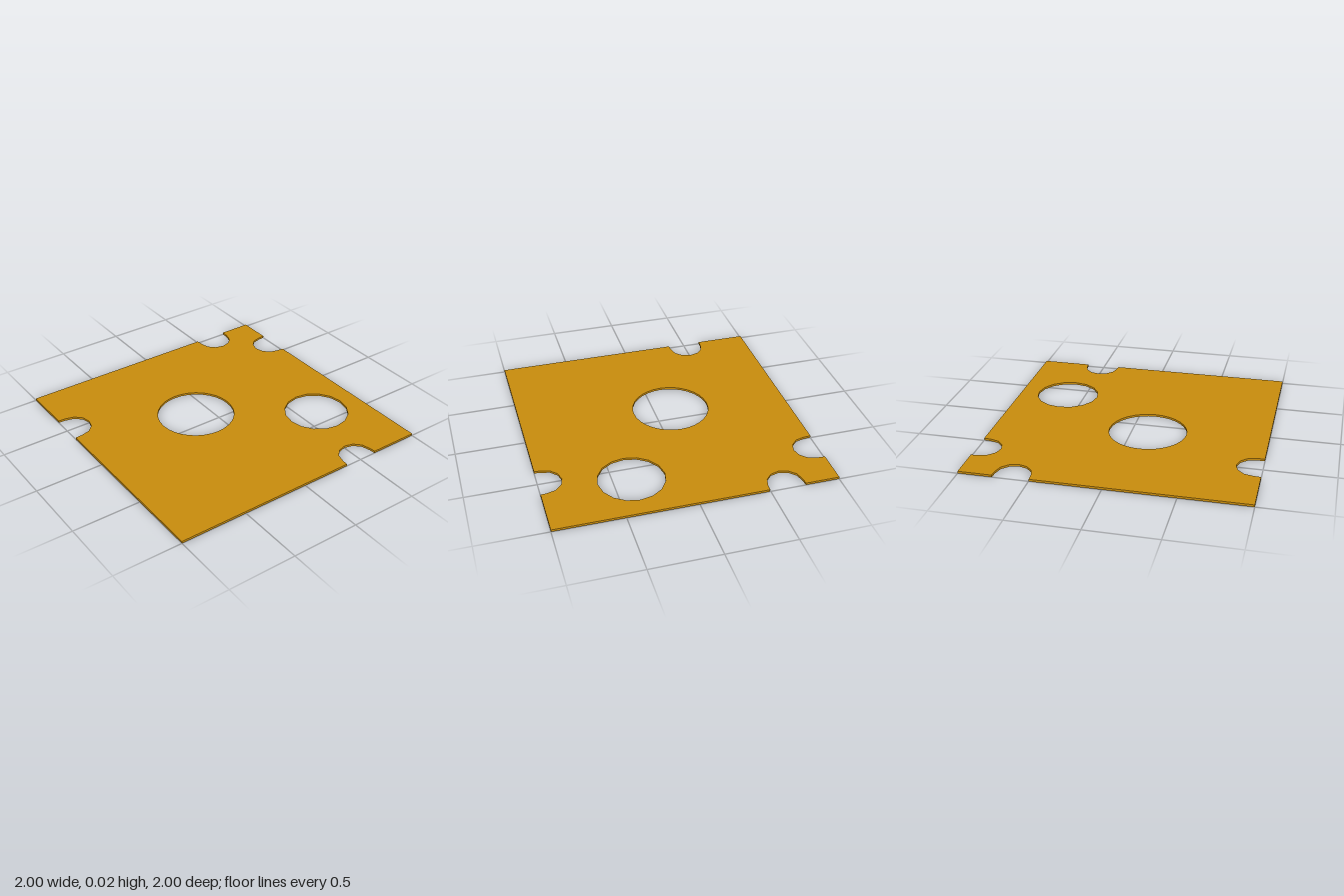
import * as THREE from 'three';

const THICKNESS = 0.016;

export function createModel() {
  const group = new THREE.Group();
  const material = new THREE.MeshStandardMaterial({ color: 0xc88c0d, flatShading: true });

  // Outline runs counter-clockwise; each edge has a start, a direction and bites.
  // A bite has its distance along the edge (at) and its depth.
  const edges = [
    { start: [-1, -1], dir: [1, 0], bites: [{ at: 0.5, depth: 0.182 }] },
    { start: [1, -1], dir: [0, 1], bites: [{ at: 1.502, depth: 0.17 }] },
    { start: [1, 1], dir: [-1, 0], bites: [{ at: 1.625, depth: 0.175 }] },
    { start: [-1, 1], dir: [0, -1], bites: [{ at: 0.372, depth: 0.182 }] },
  ];
  const outline = [];
  for (const { start, dir, bites } of edges) {
    // s runs along the edge, d goes into the slice
    const add = (s, d) => outline.push(new THREE.Vector2(
      start[0] + dir[0] * s - dir[1] * d,
      start[1] + dir[1] * s + dir[0] * d,
    ));
    add(0, 0);
    for (const { at, depth } of bites) {
      const r = 0.126;
      add(at - r - 0.004, 0);
      for (let i = 0; i <= 6; i++) {
        const a = Math.PI * (1 - i / 6);
        add(at + r * Math.cos(a), depth - r + r * Math.sin(a));
      }
      add(at + r + 0.004, 0);
    }
  }
  const shape = new THREE.Shape(outline);

  // Round holes through the slice
  const holes = [
    { x: -0.125, z: 0.122, r: 0.284, sides: 32 },
    { x: 0.372, z: -0.628, r: 0.236, sides: 16 },
  ];
  for (const { x, z, r, sides } of holes) {
    const points = [];
    for (let i = 0; i < sides; i++) {
      const a = -i / sides * Math.PI * 2;
      points.push(new THREE.Vector2(x + r * Math.cos(a), -z + r * Math.sin(a)));
    }
    shape.holes.push(new THREE.Path(points));
  }

  // Thin slice lying flat on the ground
  const geometry = new THREE.ExtrudeGeometry(shape, { depth: THICKNESS, bevelEnabled: false });
  geometry.rotateX(-Math.PI / 2);
  const slice = new THREE.Mesh(geometry, material);
  slice.name = 'cheeseSlice';
  group.add(slice);
  return group;
}
